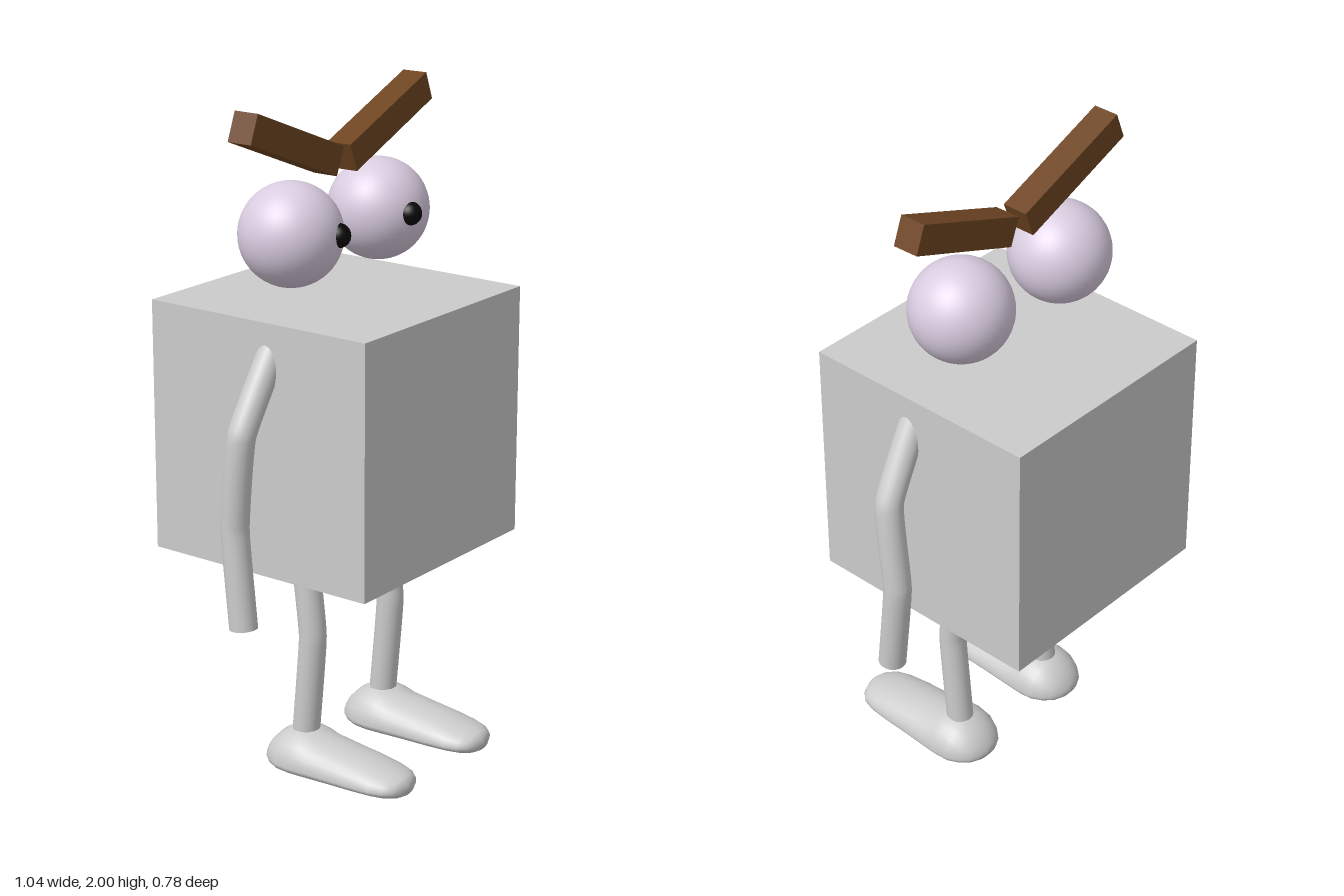
import * as THREE from 'three';

const grey = new THREE.MeshStandardMaterial({ color: 0xcccccc });
const greyOpen = new THREE.MeshStandardMaterial({ color: 0xcccccc, side: THREE.DoubleSide });
const eyeMat = new THREE.MeshStandardMaterial({ color: 0xd9cce0 });
const pupilMat = new THREE.MeshStandardMaterial({ color: 0x080808 });
const browMat = new THREE.MeshStandardMaterial({ color: 0x6e4522 });

function add(parent, name, geometry, material, x = 0, y = 0, z = 0) {
  const mesh = new THREE.Mesh(geometry, material);
  mesh.name = name;
  mesh.position.set(x, y, z);
  parent.add(mesh);
  return mesh;
}

// Bent limb through a few joints, with fairly tight bends and open ends
function limb(points, radius) {
  const joints = points.map((p) => new THREE.Vector3(...p));
  const curve = new THREE.CatmullRomCurve3(joints, false, 'catmullrom', 0.18);
  return new THREE.TubeGeometry(curve, 40, radius, 24, false);
}

// Foot lofted from heel to toe; each station is [z, half width, top, bottom]
function footGeometry() {
  const stations = [
    [-0.1, 0.004, 0.048, 0.036], [-0.095, 0.04, 0.065, 0.026], [-0.08, 0.068, 0.09, 0.018],
    [-0.055, 0.09, 0.115, 0.011], [-0.02, 0.106, 0.135, 0.006], [0.02, 0.11, 0.143, 0.005],
    [0.055, 0.109, 0.137, 0.006], [0.09, 0.107, 0.124, 0.007], [0.16, 0.103, 0.115, 0.009],
    [0.24, 0.1, 0.104, 0.011], [0.31, 0.094, 0.091, 0.013], [0.35, 0.082, 0.082, 0.014],
    [0.375, 0.06, 0.074, 0.016], [0.387, 0.035, 0.064, 0.021], [0.392, 0.004, 0.046, 0.036],
  ];
  const sides = 28;
  const positions = [];
  const index = [];
  stations.forEach(([z, w, top, bottom]) => {
    const mid = 0.042;
    for (let i = 0; i < sides; i++) {
      const a = (i / sides) * Math.PI * 2;
      const s = Math.sin(a);
      // domed above the widest line, flatter sole below
      const c = Math.cos(a);
      const x = s < 0 ? Math.sign(c) * Math.pow(Math.abs(c), 0.75) : c;
      positions.push(w * x, mid + s * (s > 0 ? top - mid : mid - bottom), z);
    }
  });
  for (let r = 0; r < stations.length - 1; r++) {
    for (let i = 0; i < sides; i++) {
      const j = (i + 1) % sides;
      const a = r * sides + i, b = r * sides + j;
      index.push(a, b, b + sides, a, b + sides, a + sides);
    }
  }
  // close heel and toe
  const last = (stations.length - 1) * sides;
  for (let i = 1; i < sides - 1; i++) {
    index.push(0, i + 1, i, last, last + i, last + i + 1);
  }
  const geometry = new THREE.BufferGeometry();
  geometry.setAttribute('position', new THREE.Float32BufferAttribute(positions, 3));
  geometry.setIndex(index);
  geometry.computeVertexNormals();
  return geometry;
}

export function createModel() {
  const model = new THREE.Group();
  model.name = 'boxCreature';

  // Cube body
  add(model, 'body', new THREE.BoxGeometry(0.755, 0.75, 0.755), grey, -0.002, 1.04, -0.015);

  // Floating eyes with small pupils looking inward
  const eyeGeo = new THREE.SphereGeometry(0.15, 40, 28);
  const pupilGeo = new THREE.SphereGeometry(0.035, 24, 16);
  for (const [side, x, px] of [['left', 0.19, 0.161], ['right', -0.22, -0.177]]) {
    add(model, side + 'Eye', eyeGeo, eyeMat, x, 1.63, -0.013);
    add(model, side + 'Pupil', pupilGeo, pupilMat, px, 1.637, 0.121);
  }

  // Slanted brow bars
  const browGeo = new THREE.BoxGeometry(0.41, 0.087, 0.08);
  const leftBrow = add(model, 'leftBrow', browGeo, browMat, 0.204, 1.886, -0.016);
  leftBrow.rotation.set(0, 0.028, 0.375, 'YZX');
  const rightBrow = add(model, 'rightBrow', browGeo, browMat, -0.233, 1.886, -0.015);
  rightBrow.rotation.z = -0.375;

  // Arms: shoulder inside the body, elbow, forearm, wrist
  add(model, 'leftArm', limb([
    [0.32, 1.36, 0.03], [0.467, 1.11, 0.012], [0.48, 0.83, -0.023], [0.475, 0.54, 0.012],
  ], 0.041), greyOpen);
  add(model, 'rightArm', limb([
    [-0.325, 1.36, 0.02], [-0.473, 1.11, 0.008], [-0.478, 0.83, -0.016], [-0.482, 0.54, 0.014],
  ], 0.041), greyOpen);

  // Legs with a slight forward knee, and long rounded feet
  const legGeo = limb([[0, 0.7, 0.012], [0, 0.43, 0.043], [0, 0.1, 0.015]], 0.041);
  const footGeo = footGeometry();
  for (const [side, x] of [['left', 0.184], ['right', -0.2]]) {
    add(model, side + 'Leg', legGeo, greyOpen, x);
    add(model, side + 'Foot', footGeo, grey, x);
  }
  return model;
}
